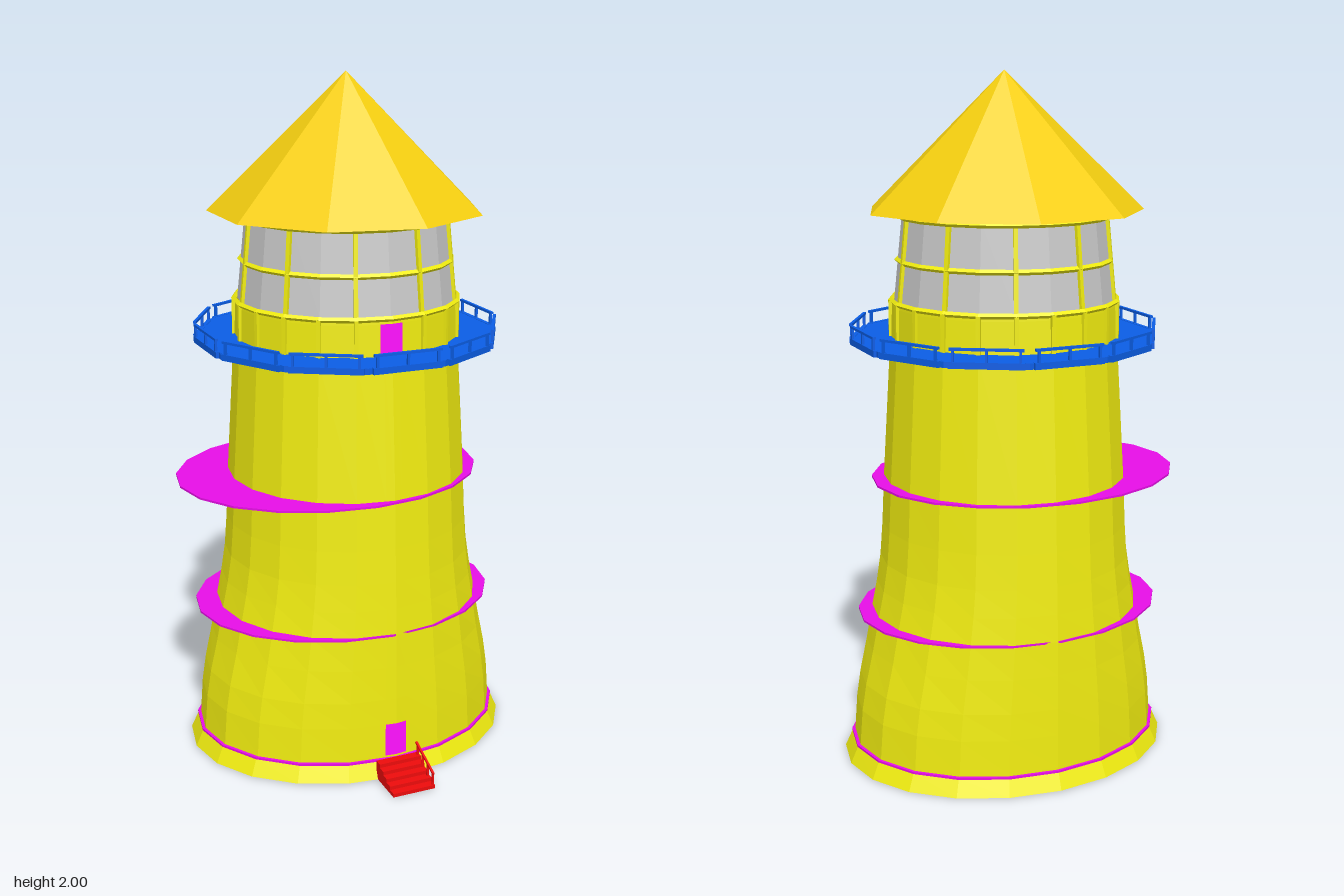
import * as THREE from 'three';

const CX = 0.01, CZ = -0.036, SIDES = 20;
const mat = (color, side = THREE.FrontSide) =>
  new THREE.MeshStandardMaterial({ color, side, flatShading: true });
const yellow = mat(0xf2ee10), wallYellow = mat(0xf2ee10, THREE.DoubleSide);
const magenta = mat(0xe80fe8), blue = mat(0x0b5ee6), red = mat(0xee0c0c);
const amber = mat(0xf5cf10), glassGrey = mat(0xcccccc, THREE.DoubleSide);

export function createModel() {
  const model = new THREE.Group();
  const tower = new THREE.Group();
  tower.name = 'tower';
  tower.position.set(CX, 0, CZ);
  model.add(tower);

  const add = (name, geometry, material, x = 0, y = 0, z = 0, parent = tower) => {
    const m = new THREE.Mesh(geometry, material);
    m.name = name;
    m.position.set(x, y, z);
    parent.add(m);
    return m;
  };

  // Polygonal shell through rows [y, radiusX, radiusZ], with an optional
  // doorway {y0, y1, t} cut around the front corner.
  const shell = (rows, door) => {
    const corner = SIDES / 4;
    const us = Array.from({ length: SIDES + 1 }, (_, i) => i);
    if (door) us.push(corner - door.t, corner + door.t);
    us.sort((a, b) => a - b);
    const point = (u, [y, rx, rz]) => {
      const k = Math.floor(u), t = u - k;
      const a = (k / SIDES) * Math.PI * 2, b = ((k + 1) / SIDES) * Math.PI * 2;
      return [
        rx * THREE.MathUtils.lerp(Math.cos(a), Math.cos(b), t), y,
        rz * THREE.MathUtils.lerp(Math.sin(a), Math.sin(b), t)];
    };
    const pos = [];
    for (let r = 0; r < rows.length - 1; r++) {
      for (let i = 0; i < us.length - 1; i++) {
        const um = (us[i] + us[i + 1]) / 2, ym = (rows[r][0] + rows[r + 1][0]) / 2;
        if (door && Math.abs(um - corner) < door.t && ym > door.y0 && ym < door.y1) continue;
        const a = point(us[i], rows[r]), b = point(us[i], rows[r + 1]);
        const c = point(us[i + 1], rows[r + 1]), d = point(us[i + 1], rows[r]);
        pos.push(...a, ...b, ...c, ...a, ...c, ...d);
      }
    }
    const g = new THREE.BufferGeometry();
    g.setAttribute('position', new THREE.Float32BufferAttribute(pos, 3));
    g.computeVertexNormals();
    return g;
  };

  // Flared base and main wall: oval at the foot, round at the top
  add('baseSkirt', shell([[0, 0.495, 0.405], [0.05, 0.472, 0.385], [0.05, 0.46, 0.378]]), wallYellow);
  add('towerWall', shell([
    [0.05, 0.465, 0.38], [0.06, 0.464, 0.38], [0.16, 0.456, 0.379], [0.24, 0.443, 0.378],
    [0.34, 0.42, 0.376], [0.44, 0.4, 0.374], [0.52, 0.383, 0.37], [0.6, 0.37, 0.366],
    [0.7, 0.362, 0.361], [0.84, 0.355, 0.355], [1.24, 0.33, 0.33],
  ], { y0: 0.06, y1: 0.16, t: 0.23 }), wallYellow);

  // Thin floors, some sticking out past the wall: [name, x, y, radiusX, radiusZ]
  for (const [name, x, y, rx, rz] of [
    ['bottomFloor', 0, 0.003, 0.485, 0.397],
    ['groundFloor', 0, 0.051, 0.474, 0.388],
    ['lowerFloor', -0.012, 0.44, 0.457, 0.375],
    ['middleFloor', -0.062, 0.84, 0.457, 0.375],
    ['galleryFloor', -0.03, 1.235, 0.385, 0.375],
  ]) {
    const disc = new THREE.CylinderGeometry(1, 1, 0.006, SIDES);
    disc.scale(rx, 1, rz);
    add(name, disc, magenta, x, y, 0);
  }

  // Balcony: twelve-sided ring deck with a railing section on each side
  const deck = new THREE.LatheGeometry(
    [[0.32, 1.238], [0.44, 1.238], [0.44, 1.255], [0.32, 1.255], [0.32, 1.238]]
      .map(([x, y]) => new THREE.Vector2(x, y)), 12, Math.PI / 12);
  add('balconyDeck', deck, blue);
  for (let i = 0; i < 12; i++) {
    const section = new THREE.Group();
    section.name = 'balconyRailing';
    section.rotation.y = (i * Math.PI) / 6;
    tower.add(section);
    add('topRail', new THREE.BoxGeometry(0.2, 0.007, 0.009), blue, 0, 1.29, 0.43, section);
    add('deckEdge', new THREE.BoxGeometry(0.205, 0.018, 0.014), blue, 0, 1.247, 0.427, section);
    for (const x of [-0.09, 0, 0.09]) {
      add('railPost', new THREE.BoxGeometry(0.007, 0.045, 0.007), blue, x, 1.27, 0.43, section);
    }
  }

  // Parapet with doorway and upright ribs
  add('parapet', shell([[1.24, 0.327, 0.327], [1.25, 0.327, 0.327], [1.345, 0.324, 0.324],
    [1.36, 0.323, 0.323]], { y0: 1.25, y1: 1.345, t: 0.33 }), wallYellow);
  for (let i = 0; i < SIDES; i++) {
    if (i === SIDES / 4) continue; // leave the doorway clear
    const a = (i / SIDES) * Math.PI * 2;
    add('parapetRib', new THREE.BoxGeometry(0.012, 0.11, 0.012), yellow,
      0.327 * Math.cos(a), 1.305, 0.327 * Math.sin(a)).rotation.y = -a;
  }

  // Lantern room: tapering glass, hoops and mullions
  add('lanternGlass', shell([[1.36, 0.316, 0.316], [1.61, 0.29, 0.29]]), glassGrey);
  for (const [y, r] of [[1.36, 0.326], [1.475, 0.306], [1.6, 0.302]]) {
    const hoop = new THREE.TorusGeometry(r, 0.008, 4, SIDES);
    hoop.rotateX(Math.PI / 2);
    add('lanternHoop', hoop, yellow, 0, y, 0);
  }
  for (let i = 0; i < 10; i++) {
    const arm = new THREE.Group();
    arm.name = 'mullion';
    arm.rotation.y = -(i / 10) * Math.PI * 2;
    tower.add(arm);
    add('mullionBar', new THREE.BoxGeometry(0.012, 0.25, 0.012), yellow, 0.306, 1.483, 0, arm)
      .rotation.z = 0.1;
  }

  // Nine-sided pointed roof
  const roof = new THREE.ConeGeometry(0.4, 0.388, 9);
  roof.rotateY(Math.PI / 2);
  add('roof', roof, amber, 0, 1.806, 0);

  // Entrance steps with a sloping handrail on the left
  const steps = new THREE.Group();
  steps.name = 'entranceSteps';
  model.add(steps);
  for (let i = 0; i < 5; i++) {
    const h = 0.011 * (i + 1);
    add('step', new THREE.BoxGeometry(0.132, h, 0.025), red, 0.01, h / 2, 0.457 - i * 0.024, steps);
  }
  add('handrail', new THREE.BoxGeometry(0.006, 0.006, 0.125), red, 0.071, 0.068, 0.41, steps)
    .rotation.x = 0.36;
  for (let i = 0; i < 4; i++) {
    add('handrailPost', new THREE.BoxGeometry(0.006, 0.042, 0.006), red,
      0.071, 0.027 + i * 0.0125, 0.464 - i * 0.034, steps);
  }
  return model;
}
